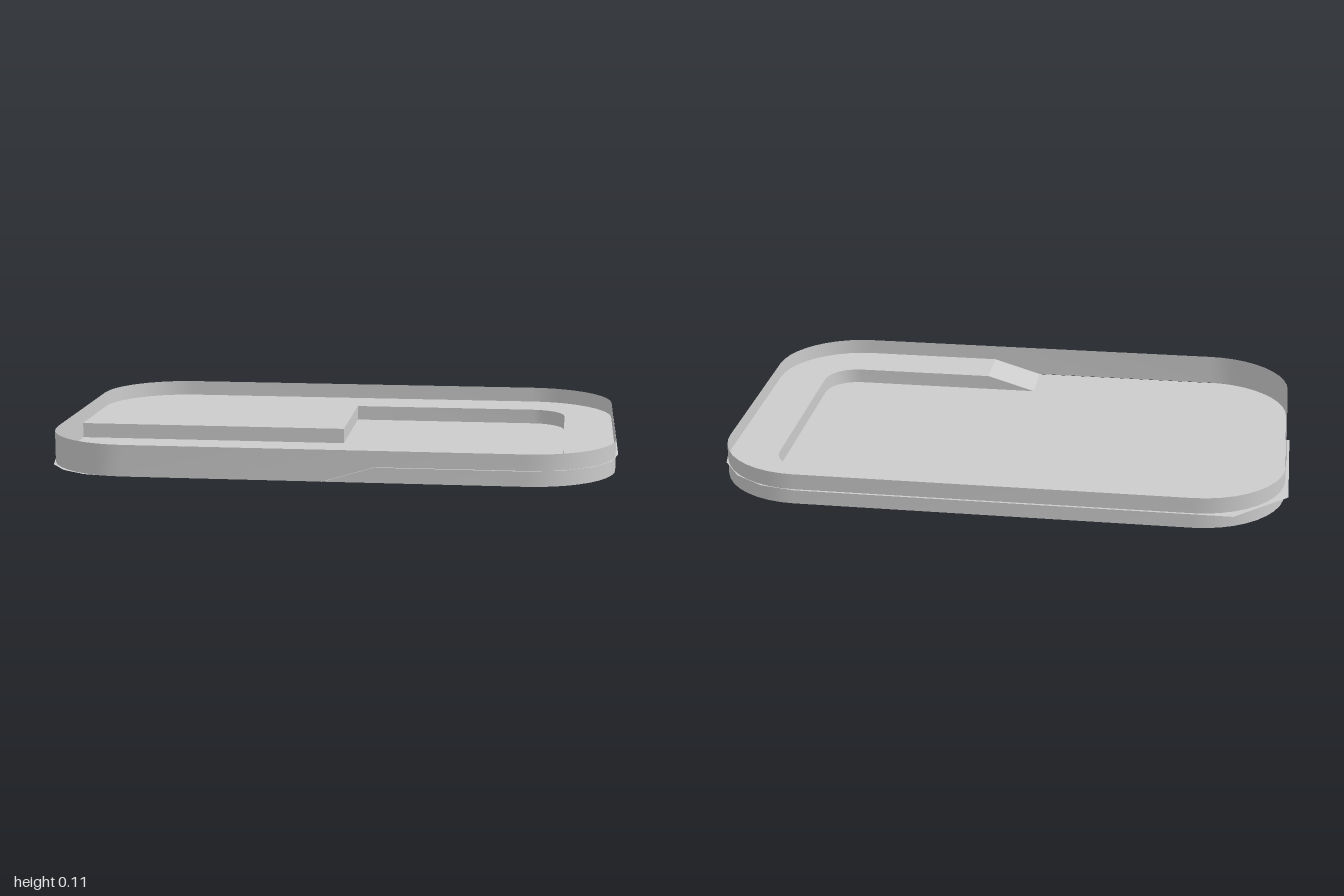
import * as THREE from 'three';
import { toCreasedNormals } from 'three/addons/utils/BufferGeometryUtils.js';

const STEP = 0.054, RIM = 0.11, RAMP = 0.18;

// Points [x, z] of a quarter turn about (cx, cz), starting at angle a
function corner(cx, cz, r, a, n) {
  return Array.from({ length: n + 1 }, (_, i) => {
    const t = a + (i / n) * Math.PI / 2;
    return [cx + r * Math.cos(t), cz + r * Math.sin(t)];
  });
}

// Flat sheet from [x, z] points at height y
function sheet(points, y) {
  const shape = new THREE.Shape(points.map(([x, z]) => new THREE.Vector2(x, -z)));
  return new THREE.ShapeGeometry(shape).rotateX(-Math.PI / 2).translate(0, y, 0);
}

// Upright strip along [x, z] points, from the ground to height(x, z)
function strip(points, height) {
  const pos = [];
  for (let i = 0; i < points.length - 1; i++) {
    const [ax, az] = points[i], [bx, bz] = points[i + 1];
    const a0 = [ax, 0, az], b0 = [bx, 0, bz];
    const a1 = [ax, height(i), az], b1 = [bx, height(i + 1), bz];
    pos.push(...a0, ...a1, ...b0);
    if (b1[1] > 0) pos.push(...b0, ...a1, ...b1);
  }
  const g = new THREE.BufferGeometry();
  g.setAttribute('position', new THREE.Float32BufferAttribute(pos, 3));
  g.computeVertexNormals();
  return toCreasedNormals(g, 0.6);
}

export function createModel() {
  const group = new THREE.Group();
  const grey = new THREE.MeshStandardMaterial({ color: 0xcccccc, side: THREE.DoubleSide });
  grey.name = 'light grey';
  const add = (name, geometry) => {
    const mesh = new THREE.Mesh(geometry, grey);
    mesh.name = name;
    group.add(mesh);
  };
  const H = Math.PI / 2;

  // Thin rounded wall all the way round
  const wall = [
    ...corner(0.683, 0.353, 0.305, 0, 10),
    ...corner(-0.683, 0.353, 0.305, H, 10),
    ...corner(-0.683, -0.353, 0.305, 2 * H, 10),
    ...corner(0.683, -0.353, 0.305, 3 * H, 10),
  ];
  wall.push(wall[0]);
  add('outerWall', strip(wall, () => RIM));

  // Edge of the step: straight, round the sunken area, then down the ramp
  const edge = [
    [-1, 0], [0, 0], [0, -0.475],
    ...corner(0.69, -0.355, 0.12, 3 * H, 6),
    ...corner(0.69, 0.352, 0.12, 0, 6),
    [RAMP, 0.472],
  ];
  const stepLine = [...edge, [0, 0.472]];
  add('stepWall', strip(stepLine, i => (i === stepLine.length - 1 ? 0 : STEP)));

  // Upper floor wraps round the back and the left side
  add('upperFloor', sheet([
    ...edge,
    [RAMP, 0.665],
    ...corner(0.68, 0.35, 0.317, 0, 4).reverse(),
    ...corner(0.68, -0.35, 0.317, 3 * H, 4).reverse(),
    [-0.82, -0.667], [-1, -0.49],
  ], STEP));

  // Lower floor: front half plus the sunken rectangle
  add('lowerFloor', sheet([
    [-0.99, 0], [0, 0], [0, -0.475], [0.81, -0.475], [0.81, 0.472], [0, 0.472], [0, 0.656],
    ...corner(-0.72, 0.386, 0.27, H, 4),
  ], 0));

  // Ramp joining the two floors
  const length = Math.hypot(RAMP, STEP);
  const ramp = new THREE.PlaneGeometry(length, 0.193).rotateX(-H)
    .rotateZ(Math.atan2(STEP, RAMP)).translate(RAMP / 2, STEP / 2, 0.5685);
  add('ramp', ramp);

  return group;
}
